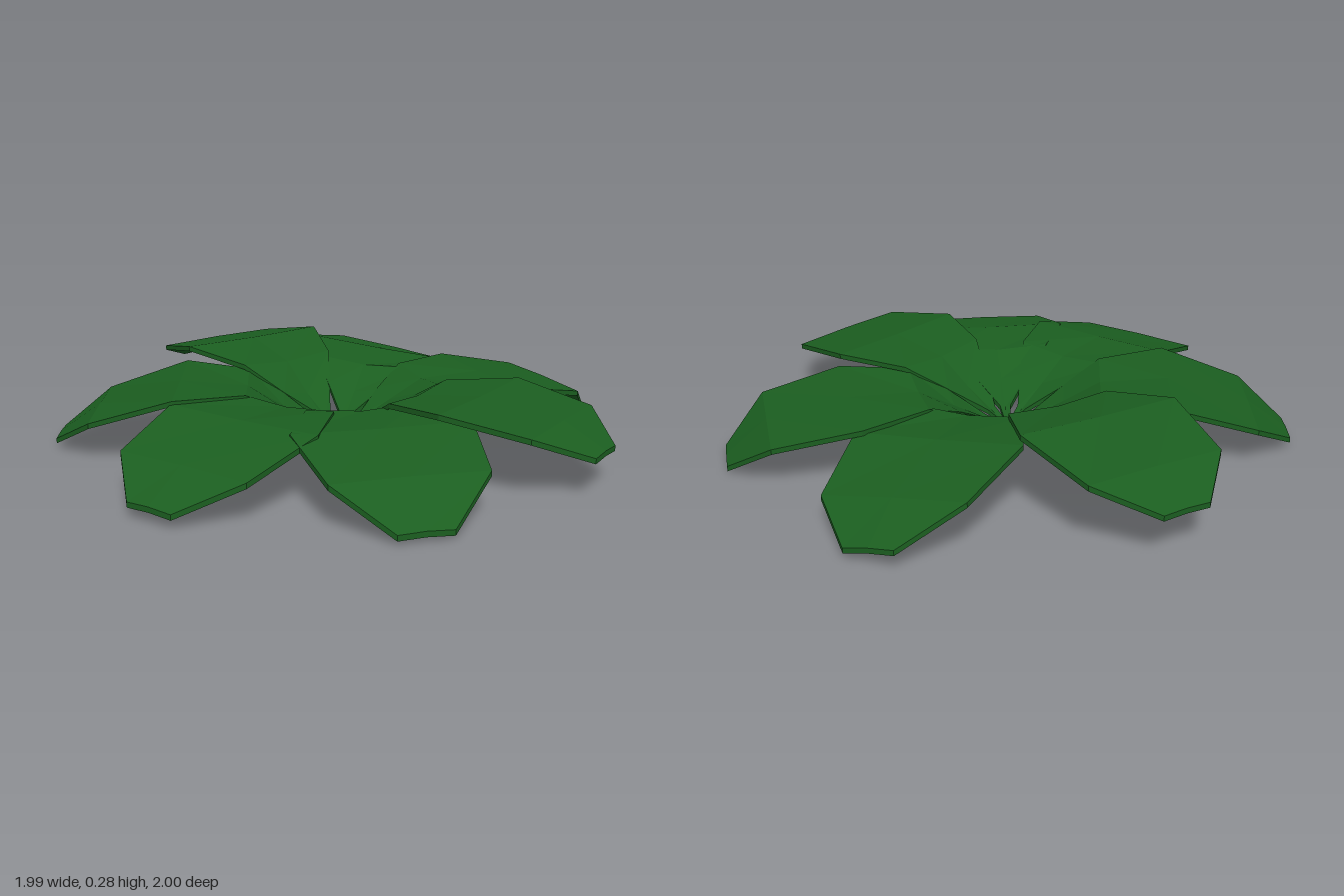
import * as THREE from 'three';

const THICKNESS = 0.018;

// Leaf outline: distance from the centre and half width at each station
const STATIONS = [
  [0.0, 0.006], [0.08, 0.02], [0.2, 0.105], [0.33, 0.195],
  [0.57, 0.296], [0.86, 0.246], [1.005, 0.085],
];
// How far the edges rise above the midrib at each station
const CUP = [0, 0.008, 0.02, 0.015, 0.004, -0.004, -0.004];

// Angle in degrees, top heights at shoulder, outer corner and tip, sideways tilt
const LEAVES = [
  [1, 0.195, 0.15, 0.03, 0],
  [52, 0.21, 0.15, 0.06, -0.2],
  [106, 0.275, 0.23, 0.16, 0.02],
  [162, 0.22, 0.14, 0.04, 0],
  [216, 0.205, 0.14, 0.055, 0.02],
  [263, 0.2, 0.145, 0.035, 0],
  [305, 0.24, 0.205, 0.13, 0.02],
];

// Thin solid blade lofted through six-point cross-sections along +x
function leafGeometry(shoulder, corner, tip, tilt) {
  const crease = 0.19 + (shoulder - 0.2) * 0.4;
  const heights = [0.02, 0.055, 0.12, crease, shoulder, corner, tip];
  const positions = [];
  const indices = [];

  STATIONS.forEach(([r, w], i) => {
    const point = (side, drop) => positions.push(
      r, heights[i] + Math.abs(side) * CUP[i] + side * w * tilt * r - drop, side * w);
    [-1, 0, 1].forEach((side) => point(side, 0));
    [1, 0, -1].forEach((side) => point(side, THICKNESS));
  });

  for (let i = 0; i < STATIONS.length - 1; i++) {
    for (let j = 0; j < 6; j++) {
      const a = i * 6 + j;
      const b = i * 6 + (j + 1) % 6;
      indices.push(a, b, b + 6, a, b + 6, a + 6);
    }
  }
  // End caps
  const e = (STATIONS.length - 1) * 6;
  for (const [a, b, c, d] of [[0, 1, 4, 5], [1, 2, 3, 4]]) {
    indices.push(a, c, b, a, d, c);
    indices.push(e + a, e + b, e + c, e + a, e + c, e + d);
  }

  const indexed = new THREE.BufferGeometry();
  indexed.setAttribute('position', new THREE.Float32BufferAttribute(positions, 3));
  indexed.setIndex(indices);
  const geometry = indexed.toNonIndexed();
  geometry.computeVertexNormals();
  return geometry;
}

export function createModel() {
  const model = new THREE.Group();
  model.name = 'leafRosette';
  const green = new THREE.MeshStandardMaterial({ color: 0x1b5e20, flatShading: true });

  // Ring of drooping leaves meeting at the centre
  LEAVES.forEach(([angle, shoulder, corner, tip, tilt], i) => {
    const leaf = new THREE.Mesh(leafGeometry(shoulder, corner, tip, tilt), green);
    leaf.name = `leaf${i + 1}`;
    leaf.rotation.y = THREE.MathUtils.degToRad(angle);
    leaf.position.set(-0.01, 0, -0.02);
    model.add(leaf);
  });

  return model;
}
